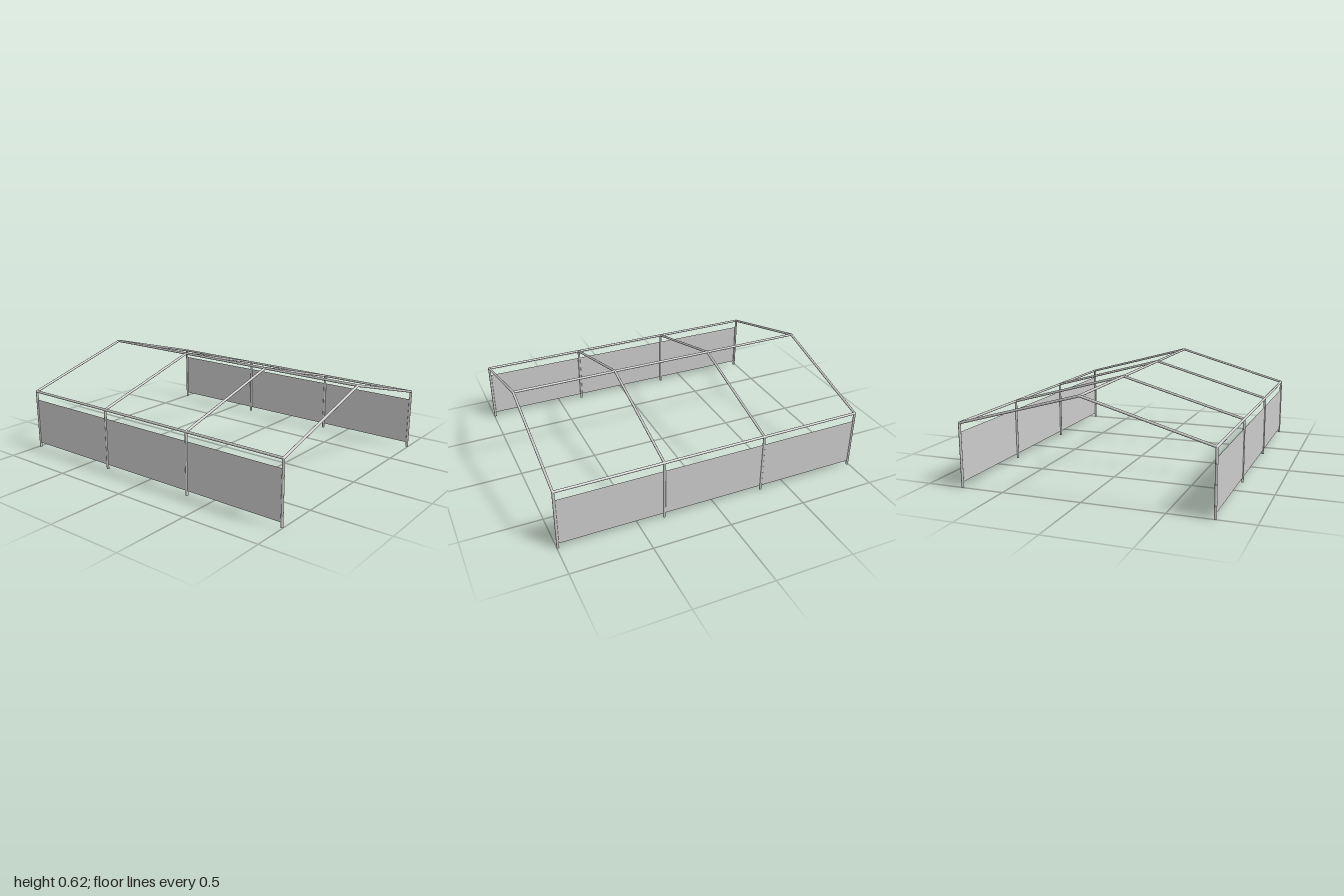
import * as THREE from 'three';

const R = 0.008;          // tube radius
const HALF_W = 0.772;     // post axis
const EAVE = 0.393;       // eave height
const RIDGE = 0.607;      // ridge height
const HALF_L = 0.992;     // end frame axis

const steel = new THREE.MeshStandardMaterial({ color: 0xcccccc });
const sheet = new THREE.MeshStandardMaterial({ color: 0xcccccc, side: THREE.DoubleSide });

// Round tube between two points
function tube(name, a, b) {
  const start = new THREE.Vector3(...a);
  const dir = new THREE.Vector3(...b).sub(start);
  const mesh = new THREE.Mesh(new THREE.CylinderGeometry(R, R, dir.length(), 16), steel);
  mesh.position.copy(start).addScaledVector(dir, 0.5);
  mesh.quaternion.setFromUnitVectors(new THREE.Vector3(0, 1, 0), dir.normalize());
  mesh.name = name;
  return mesh;
}

// Ball that closes the corner where tubes meet
function joint(x, y, z) {
  const mesh = new THREE.Mesh(new THREE.SphereGeometry(R, 16, 10), steel);
  mesh.position.set(x, y, z);
  mesh.name = 'joint';
  return mesh;
}

export function createModel() {
  const model = new THREE.Group();
  model.name = 'tentFrame';

  // Four portal frames: posts and rafters
  for (let i = 0; i < 4; i++) {
    const z = HALF_L * (1 - (2 * i) / 3);
    const frame = new THREE.Group();
    frame.name = 'portalFrame';
    for (const s of [1, -1]) {
      const x = s * HALF_W;
      frame.add(tube('post', [x, 0, z], [x, EAVE, z]));
      frame.add(tube('rafter', [x, EAVE, z], [0, RIDGE, z]));
      frame.add(joint(x, EAVE, z));
    }
    frame.add(joint(0, RIDGE, z));
    model.add(frame);
  }

  // Lengthwise beams
  model.add(tube('ridgeBeam', [0, RIDGE, HALF_L], [0, RIDGE, -HALF_L]));
  for (const s of [1, -1]) {
    const x = s * HALF_W;
    model.add(tube('eaveBeam', [x, EAVE, HALF_L], [x, EAVE, -HALF_L]));

    // Thin side wall sheet
    const wall = new THREE.Mesh(new THREE.PlaneGeometry(2, 0.307), sheet);
    wall.rotation.y = s * Math.PI / 2;
    wall.position.set(s * 0.774, 0.183, 0);
    wall.name = 'sideWall';
    model.add(wall);
  }
  return model;
}
